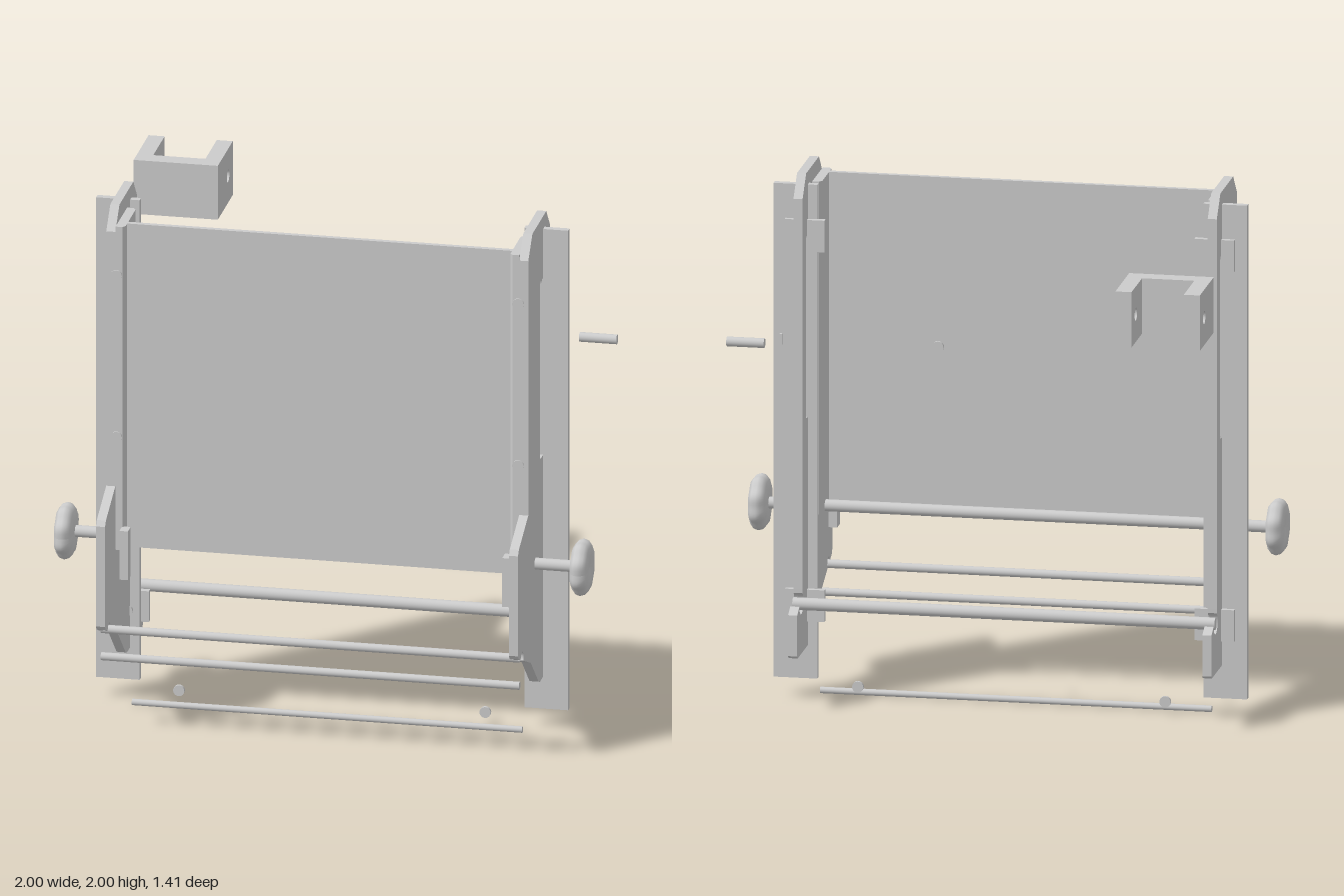
import * as THREE from 'three';

const mat = new THREE.MeshStandardMaterial({ color: 0xcccccc });

export function createModel() {
  const model = new THREE.Group();

  function add(name, geo, x = 0, y = 0, z = 0) {
    const m = new THREE.Mesh(geo, mat);
    m.name = name;
    m.position.set(x, y, z);
    model.add(m);
    return m;
  }
  // Box given by its limits on each axis
  const box = (name, x0, x1, y0, y1, z0, z1) =>
    add(name, new THREE.BoxGeometry(Math.abs(x1 - x0), y1 - y0, z1 - z0), (x0 + x1) / 2, (y0 + y1) / 2, (z0 + z1) / 2);
  const rodX = (name, x0, x1, y, z, r) =>
    add(name, new THREE.CylinderGeometry(r, r, x1 - x0, 24).rotateZ(Math.PI / 2), (x0 + x1) / 2, y, z);
  const discZ = (name, x, y, z, r, t) =>
    add(name, new THREE.CylinderGeometry(r, r, t, 24).rotateX(Math.PI / 2), x, y, z);
  // Extrudes a (z, y) shape along x, centred on x = 0
  const extrudeX = (shape, t) =>
    new THREE.ExtrudeGeometry(shape, { depth: t, bevelEnabled: false, curveSegments: 16 })
      .translate(0, 0, -t / 2).rotateY(-Math.PI / 2);

  // Side plate outline with rod notches and the long window
  const plate = new THREE.Shape();
  plate.moveTo(0.445, 2);
  [[0.52, 1.92], [0.52, 0.928], [0.69, 0.855], [0.705, 0.835], [0.705, 0.445], [0.695, 0.43], [0.657, 0.413]]
    .forEach(p => plate.lineTo(...p));
  plate.absarc(0.632, 0.41, 0.026, 0.1, Math.PI + 0.6, false);
  [[0.6, 0.39], [0.475, 0.338], [0.335, 0.215], [0.31, 0.205], [0.03, 0.205], [0.02, 0.215], [0.02, 0.37], [0.062, 0.392]]
    .forEach(p => plate.lineTo(...p));
  plate.absarc(0.102, 0.395, 0.04, Math.PI, Math.PI * 2 + 0.95, false);
  [[0.125, 0.445], [0.125, 1.92], [0.195, 2]].forEach(p => plate.lineTo(...p));
  plate.closePath();
  const slot = new THREE.Path();
  slot.moveTo(0.2, 1.07);
  [[0.3, 1.07], [0.312, 1.082], [0.312, 1.748], [0.3, 1.76], [0.2, 1.76], [0.19, 1.748], [0.19, 1.082]]
    .forEach(p => slot.lineTo(...p));
  slot.closePath();
  plate.holes.push(slot);
  const plateGeo = extrudeX(plate, 0.034);

  // Knob: turned profile with eight shallow lobes
  const knobProfile = [[0, -0.035], [0.05, -0.035], [0.085, -0.03], [0.101, -0.016], [0.106, 0],
    [0.1, 0.018], [0.085, 0.03], [0.05, 0.032], [0, 0.026]].map(p => new THREE.Vector2(...p));
  const knobGeo = new THREE.LatheGeometry(knobProfile, 64);
  const pos = knobGeo.attributes.position;
  for (let i = 0; i < pos.count; i++) {
    const a = Math.atan2(pos.getZ(i), pos.getX(i));
    const k = 0.97 + 0.03 * Math.cos(8 * a + Math.PI);
    pos.setX(i, pos.getX(i) * k);
    pos.setZ(i, pos.getZ(i) * k);
  }
  knobGeo.computeVertexNormals();

  // Central panel
  box('panel', -0.725, 0.725, 0.68, 1.94, 0.457, 0.477);

  for (const s of [-1, 1]) {
    add('sidePlate', plateGeo, s * 0.7725, 0, 0);
    // Rails along the panel's sides, with chamfered edges
    const rail = new THREE.Shape([[0.72, 0.325], [0.73, 0.31], [0.755, 0.31], [0.755, 0.518], [0.73, 0.518], [0.72, 0.505]]
      .map(p => new THREE.Vector2(p[0] * s, -p[1])));
    add('panelRail', new THREE.ExtrudeGeometry(rail, { depth: 1.26, bevelEnabled: false }).rotateX(-Math.PI / 2), 0, 0.68, 0);
    // Wide upright board passing through the side plate
    box('uprightBoard', s * 0.72, s * 0.883, 0.08, 1.95, 0.226, 0.252);
    for (const y of [0.36, 1.76]) {
      box('boardBracket', s * 0.69, s * 0.838, y - 0.06, y + 0.06, 0.208, 0.232);
      discZ('bracketBolt', s * 0.765, y - 0.01, 0.257, 0.02, 0.014);
    }
    for (const y of [1.12, 1.75]) discZ('railScrew', s * 0.752, y, 0.518, 0.022, 0.014);
    // Small latch below the panel's corner
    box('latch', s * 0.7, s * 0.732, 0.58, 0.77, 0.51, 0.56);
    const knob = add('knob', knobGeo, s * 0.965, 0.695, 0.395);
    knob.rotation.z = -s * Math.PI / 2;
    discZ('looseDisc', s * 0.573, 0.05, 0.251, 0.021, 0.012);
  }

  // Cross rods
  rodX('knobRod', -0.94, 0.94, 0.695, 0.39, 0.022);
  rodX('backRod', -0.79, 0.785, 0.395, 0.098, 0.023);
  rodX('frontRod', -0.785, 0.78, 0.41, 0.63, 0.016);
  rodX('lowerFrontRod', -0.785, 0.78, 0.303, 0.63, 0.015);
  rodX('looseRod', -0.735, 0.725, 0.015, 0.313, 0.012);
  rodX('loosePin', 0.86, 1, 1.42, -0.07, 0.018);

  // U-shaped clevis: base and two drilled arms
  box('clevisBase', -0.885, -0.57, 1.64, 1.85, -0.5, -0.435);
  const arm = new THREE.Shape([[-0.705, 1.64], [-0.5, 1.64], [-0.5, 1.85], [-0.705, 1.85]].map(p => new THREE.Vector2(...p)));
  const hole = new THREE.Path();
  hole.absarc(-0.62, 1.745, 0.024, 0, Math.PI * 2, true);
  arm.holes.push(hole);
  const armGeo = extrudeX(arm, 0.06);
  for (const x of [-0.855, -0.6]) add('clevisArm', armGeo, x, 0, 0);

  // Small loose pieces behind
  discZ('smallDisc', 0.145, 1.533, -0.425, 0.021, 0.012);
  box('smallKey', 0.725, 0.736, 1.512, 1.554, -0.431, -0.419);

  return model;
}
